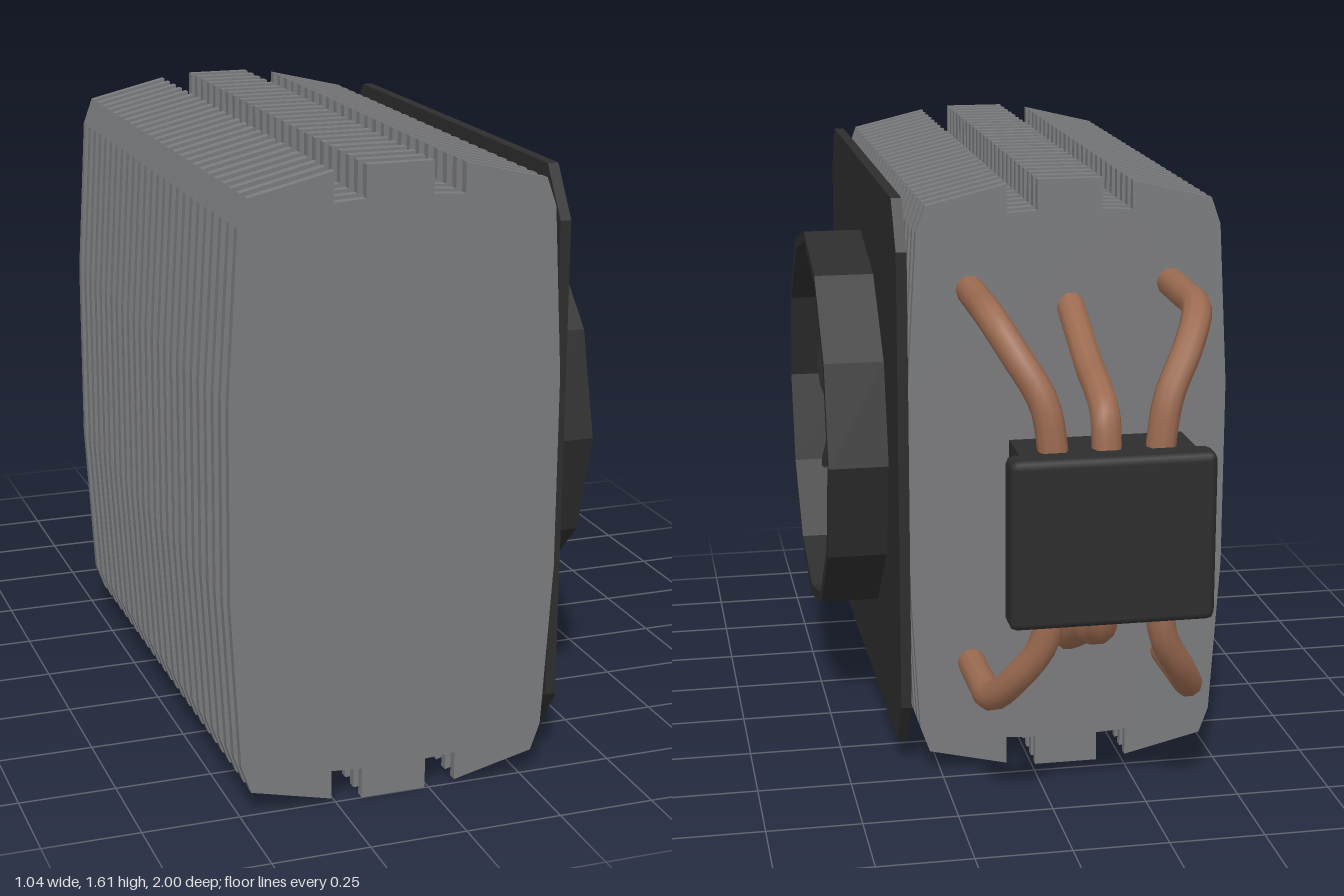
import * as THREE from 'three';
import { RoundedBoxGeometry } from 'three/addons/geometries/RoundedBoxGeometry.js';

const mat = (name, color, extra = {}) => Object.assign(new THREE.MeshStandardMaterial({ color, ...extra }), { name });

function add(parent, name, geometry, material, x = 0, y = 0, z = 0) {
  const mesh = new THREE.Mesh(geometry, material);
  mesh.name = name;
  mesh.position.set(x, y, z);
  parent.add(mesh);
  return mesh;
}

const faceted = (geometry) => {
  const g = geometry.toNonIndexed();
  g.computeVertexNormals();
  return g;
};

const shapeOf = (pts) => new THREE.Shape(pts.map(([x, y]) => new THREE.Vector2(x, y)));

// Mirror a quarter outline into a closed outline
function mirrorQuarter(q) {
  const top = [...q, ...q.map(([x, y]) => [-x, y]).reverse()];
  return [...top, ...top.map(([x, y]) => [x, -y]).reverse()];
}

// One swept blade: a plane bent along a curved centre line, pitched across its width
function bladeGeometry() {
  const stations = [ // radius, centre angle in degrees, width
    [0.08, 36, 0.09], [0.16, 35, 0.115], [0.24, 32.5, 0.145], [0.32, 28.5, 0.17],
    [0.39, 24.5, 0.175], [0.44, 21.5, 0.15], [0.475, 19.5, 0.07],
  ];
  const g = new THREE.PlaneGeometry(1, stations.length - 1, 4, stations.length - 1);
  const p = g.attributes.position;
  for (let i = 0; i < p.count; i++) {
    const s = p.getX(i);
    const [r, deg, width] = stations[Math.floor(i / 5)];
    const a = THREE.MathUtils.degToRad(deg);
    const across = s * width;
    p.setXYZ(i, r * Math.cos(a) - across * Math.sin(a), r * Math.sin(a) + across * Math.cos(a), across * 0.7 - 0.08 * s * s);
  }
  g.computeVertexNormals();
  return g;
}

export function createModel() {
  const model = new THREE.Group();
  model.name = 'towerCooler';
  const metal = mat('finGrey', 0x7a7b7d);
  const copper = mat('copper', 0x9c6b51);
  const black = mat('black', 0x2d2d2d, { side: THREE.DoubleSide });

  // Stack of notched fins
  const finShape = shapeOf(mirrorQuarter([
    [0.425, 0.25], [0.4, 0.675], [0.375, 0.745], [0.165, 0.795],
    [0.165, 0.72], [0.085, 0.725], [0.085, 0.805],
  ]));
  const finGeo = new THREE.ExtrudeGeometry(finShape, { depth: 0.024, bevelEnabled: false });
  const fins = new THREE.Group();
  fins.name = 'fins';
  model.add(fins);
  for (let i = 0; i < 25; i++) add(fins, 'fin', finGeo, metal, -0.095, 0.805, -0.46 + i * 0.0598);

  // Rods through the fins and copper pipes bending to the base block
  const rodGeo = new THREE.CylinderGeometry(0.036, 0.036, 1.45, 12).rotateX(Math.PI / 2);
  const pipe = (pts) => {
    const curve = new THREE.CatmullRomCurve3(pts.map((p) => new THREE.Vector3(...p)));
    add(model, 'heatPipe', new THREE.TubeGeometry(curve, 20, 0.038, 10), copper);
  };
  for (const flip of [1, -1]) {
    const y = (v) => 0.82 + flip * v;
    for (const side of [1, -1]) {
      const x = (v) => -0.1 + side * v;
      add(model, 'finRod', rodGeo, black, x(0.265), y(0.51), 0.27);
      pipe([
        [x(0.265), y(0.51), -0.44], [x(0.265), y(0.507), -0.6], [x(0.26), y(0.497), -0.74],
        [x(0.215), y(0.42), -0.825], [x(0.155), y(0.31), -0.878], [x(0.13), y(0.15), -0.89],
      ]);
    }
    pipe([
      [-0.1, y(0.465), -0.43], [-0.1, y(0.42), -0.53], [-0.1, y(0.35), -0.68],
      [-0.1, y(0.315), -0.79], [-0.1, y(0.27), -0.865], [-0.1, y(0.15), -0.89],
    ]);
  }

  // Base block: chamfered back plate and slightly smaller clamp
  add(model, 'basePlate', new RoundedBoxGeometry(0.515, 0.43, 0.09, 1, 0.02), black, -0.097, 0.805, -0.955);
  add(model, 'baseClamp', new THREE.BoxGeometry(0.44, 0.42, 0.15), black, -0.097, 0.805, -0.85);

  // Fan, built facing local +z and turned to face +x
  const fan = new THREE.Group();
  fan.name = 'fan';
  fan.position.set(0, 0.815, 0.265);
  fan.rotation.y = Math.PI / 2;
  model.add(fan);

  const plate = shapeOf(mirrorQuarter([[0.722, 0.62], [0.64, 0.746]]));
  const hole = Array.from({ length: 12 }, (_, i) => {
    const a = -i * Math.PI / 6;
    return new THREE.Vector2(0.52 * Math.cos(a), 0.52 * Math.sin(a));
  });
  plate.holes.push(new THREE.Path(hole));
  add(fan, 'fanPlate', new THREE.ExtrudeGeometry(plate, { depth: 0.028, bevelEnabled: false }), black, 0.013, 0, 0.33);

  // Twelve-sided shroud with a flared rear lip
  const ring = [[0.515, 0.31], [0.545, 0.31], [0.64, 0.335], [0.545, 0.358], [0.545, 0.52], [0.515, 0.52], [0.515, 0.31]];
  const ringGeo = new THREE.LatheGeometry(ring.map(([r, h]) => new THREE.Vector2(r, h)), 12).rotateX(Math.PI / 2);
  add(fan, 'fanShroud', faceted(ringGeo), black);

  // Rotor
  const hubProfile = [[0, 0.34], [0.105, 0.34], [0.105, 0.445], [0.095, 0.46], [0, 0.468]];
  const hubGeo = new THREE.LatheGeometry(hubProfile.map(([r, h]) => new THREE.Vector2(r, h)), 24).rotateX(Math.PI / 2);
  add(fan, 'hub', hubGeo, black);
  add(fan, 'shaft', new THREE.CylinderGeometry(0.02, 0.02, 0.1, 12).rotateX(Math.PI / 2), black, 0, 0, 0.29);
  const blade = bladeGeometry();
  for (let i = 0; i < 8; i++) add(fan, 'blade', blade, black, 0, 0, 0.41).rotation.z = i * Math.PI / 4;

  return model;
}
